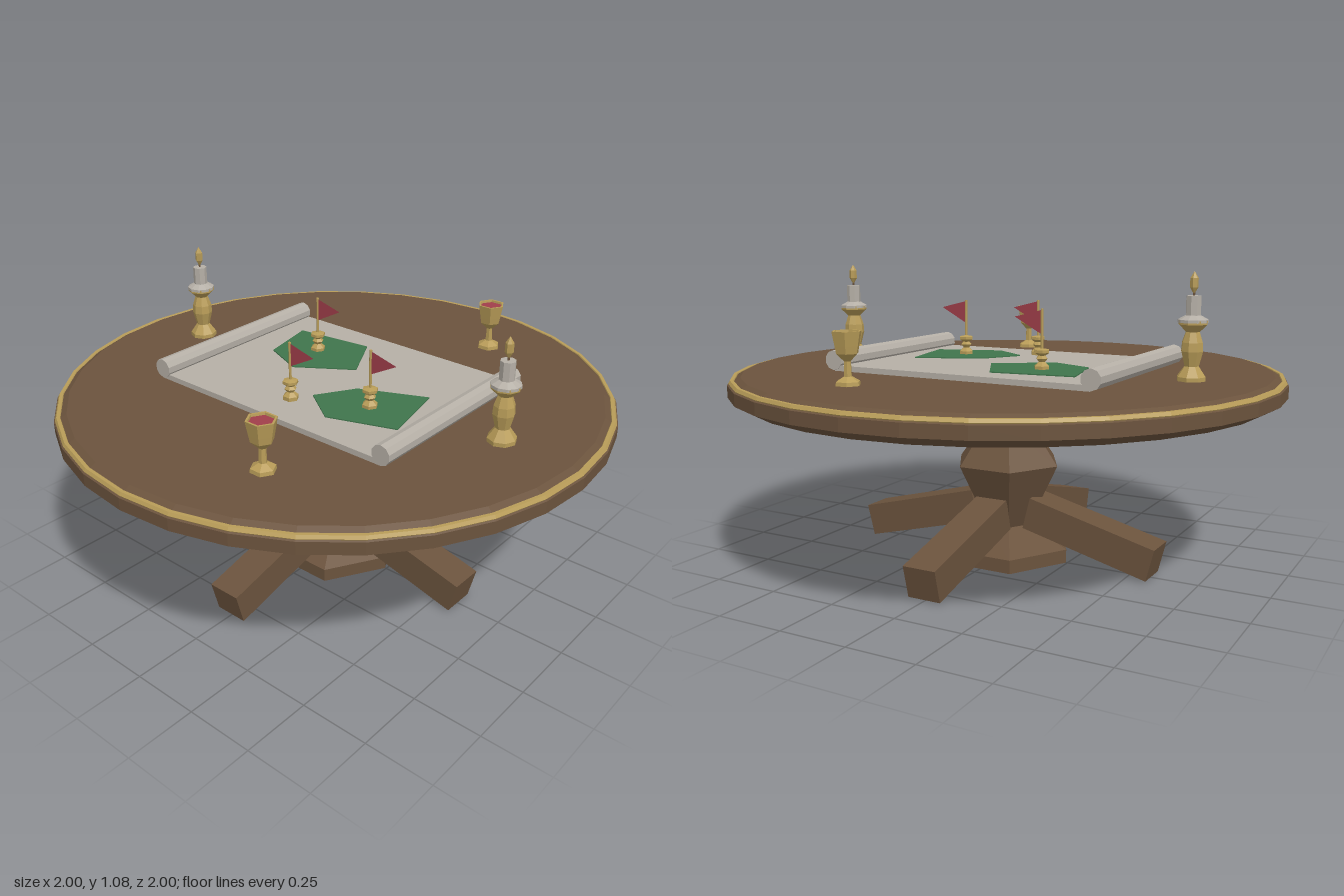
import * as THREE from 'three';

const mat = (name, color) => {
  const m = new THREE.MeshStandardMaterial({ color, flatShading: true });
  m.name = name;
  return m;
};

export function createModel() {
  const wood = mat('wood', 0x6b533d);
  const gold = mat('gold', 0xb89c58);
  const parchment = mat('parchment', 0xb5afa6);
  const green = mat('land green', 0x40754c);
  const red = mat('red', 0xa03e4a);
  red.side = THREE.DoubleSide;

  const root = new THREE.Group();
  root.name = 'mapTable';

  // Faceted mesh helper
  const add = (parent, name, geo, material, x = 0, y = 0, z = 0) => {
    const g = geo.index ? geo.toNonIndexed() : geo;
    g.computeVertexNormals();
    const m = new THREE.Mesh(g, material);
    m.name = name;
    m.position.set(x, y, z);
    parent.add(m);
    return m;
  };
  // Turned part from [radius, height] pairs, bottom to top
  const turned = (pts, sides, start = 0) =>
    new THREE.LatheGeometry(pts.map(p => new THREE.Vector2(...p)), sides, start);
  const hex = pts => turned(pts, 6, Math.PI / 6);
  const group = (name, x, y, z) => {
    const g = new THREE.Group();
    g.name = name;
    g.position.set(x, y, z);
    root.add(g);
    return g;
  };

  // Table top with chamfered edge and gilt rim
  add(root, 'tableTop', turned([[0, 0.615], [0.945, 0.615], [1, 0.645], [1, 0.688],
    [0.955, 0.713], [0, 0.713]], 32), wood);
  add(root, 'goldRim', new THREE.TorusGeometry(0.984, 0.012, 6, 32).rotateX(Math.PI / 2),
    gold, 0, 0.694, 0);

  // Six-sided pedestal
  add(root, 'pedestal', hex([[0, 0], [0.245, 0], [0.245, 0.05], [0.09, 0.125],
    [0.205, 0.36], [0.1, 0.505], [0.23, 0.616], [0, 0.616]]), wood);

  // Four sloping legs
  for (let i = 0; i < 4; i++) {
    const leg = new THREE.BoxGeometry(0.5, 0.12, 0.125);
    leg.rotateZ(-0.25).translate(0.352, 0.124, 0).rotateY(i * Math.PI / 2);
    add(root, 'leg', leg, wood);
  }

  // Map sheet with rolled ends
  add(root, 'mapSheet', new THREE.BoxGeometry(1.0, 0.022, 0.765), parchment, 0, 0.722, 0);
  for (const s of [-1, 1]) {
    add(root, 'mapRoll', new THREE.CylinderGeometry(0.036, 0.036, 0.77, 10).rotateX(Math.PI / 2),
      parchment, s * 0.503, 0.751, 0);
  }

  // Land patches, as [x, z] outlines
  const lands = [
    [[-0.385, -0.245], [-0.083, -0.283], [0.02, -0.09], [-0.176, 0.041], [-0.337, -0.025]],
    [[0.364, -0.07], [0.422, 0.19], [0.182, 0.273], [0.043, 0.176], [0.128, 0.035]],
  ];
  for (const pts of lands) {
    const shape = new THREE.Shape(pts.map(p => new THREE.Vector2(...p)));
    const geo = new THREE.ExtrudeGeometry(shape, { depth: 0.005, bevelEnabled: false });
    add(root, 'landPatch', geo.rotateX(Math.PI / 2), green, 0, 0.737, 0);
  }

  // Flag markers
  const pennant = new THREE.Shape([[0, 0.122], [0.107, 0.18], [0, 0.207]]
    .map(p => new THREE.Vector2(...p)));
  for (const [x, z] of [[-0.21, -0.14], [0.25, 0.118], [0, 0.243]]) {
    const g = group('flagMarker', x, 0.734, z);
    add(g, 'markerBase', hex([[0, 0], [0.028, 0], [0.028, 0.014], [0.012, 0.028], [0.022, 0.04],
      [0.013, 0.05], [0.028, 0.06], [0.028, 0.07], [0, 0.076]]), gold);
    add(g, 'flagPole', new THREE.CylinderGeometry(0.005, 0.005, 0.14, 6), gold, 0, 0.141, 0);
    add(g, 'pennant', new THREE.ShapeGeometry(pennant), red);
  }

  // Goblets filled with wine
  for (const z of [-0.635, 0.635]) {
    const g = group('goblet', 0.245, 0.712, z);
    add(g, 'cup', hex([[0, 0], [0.044, 0], [0.042, 0.014], [0.014, 0.03], [0.012, 0.08],
      [0.038, 0.105], [0.043, 0.13], [0.052, 0.178], [0.044, 0.178], [0.04, 0.155]]), gold);
    add(g, 'wine', hex([[0.043, 0.162], [0.043, 0.17], [0, 0.17]]), red);
  }

  // Candlesticks
  for (const x of [-0.7, 0.7]) {
    const g = group('candlestick', x, 0.712, 0);
    add(g, 'stick', turned([[0, 0], [0.05, 0], [0.05, 0.015], [0.025, 0.05], [0.038, 0.1],
      [0.036, 0.13], [0.024, 0.165], [0.05, 0.19], [0.05, 0.203], [0, 0.203]], 8), gold);
    add(g, 'waxPan', turned([[0.051, 0.196], [0.051, 0.206], [0.026, 0.22], [0, 0.22]], 10), parchment);
    add(g, 'candle', new THREE.CylinderGeometry(0.026, 0.026, 0.075, 8), parchment, 0, 0.247, 0);
    add(g, 'wick', new THREE.CylinderGeometry(0.004, 0.004, 0.02, 5), wood, 0, 0.29, 0);
    add(g, 'flame', turned([[0, 0.288], [0.014, 0.312], [0.014, 0.342], [0, 0.365]], 6), gold);
  }

  return root;
}
